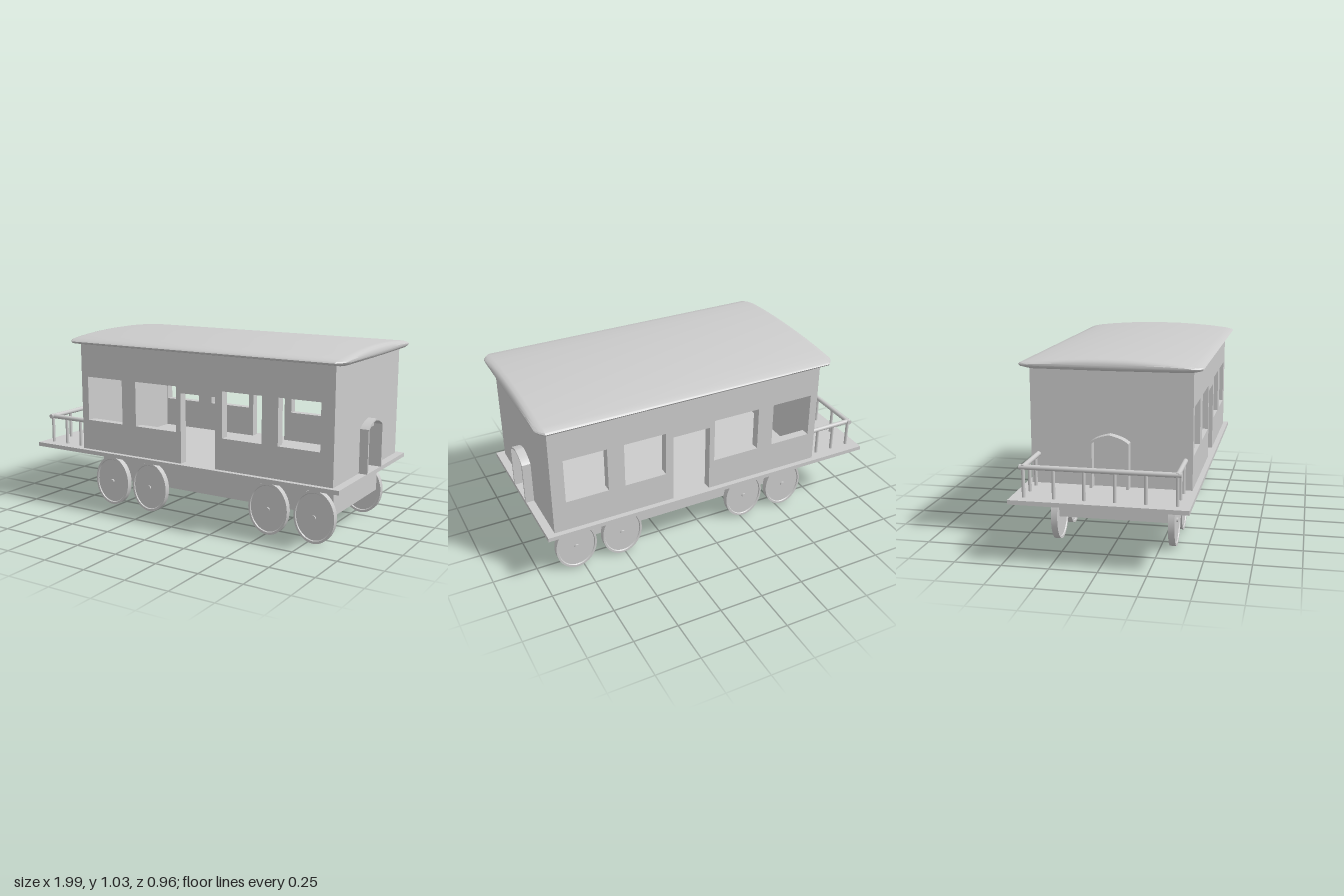
import * as THREE from 'three';
import { toCreasedNormals } from 'three/addons/utils/BufferGeometryUtils.js';

const material = new THREE.MeshStandardMaterial({ color: 0xcccccc, side: THREE.DoubleSide });

export function createModel() {
  const root = new THREE.Group();

  const add = (name, geometry, x = 0, y = 0, z = 0) => {
    const mesh = new THREE.Mesh(geometry, material);
    mesh.name = name;
    mesh.position.set(x, y, z);
    root.add(mesh);
    return mesh;
  };
  // Box given by its limits on each axis
  const box = (name, x0, x1, y0, y1, z0, z1) =>
    add(name, new THREE.BoxGeometry(x1 - x0, y1 - y0, z1 - z0), (x0 + x1) / 2, (y0 + y1) / 2, (z0 + z1) / 2);
  // Round bar between two points
  const bar = (name, a, b, r) => {
    const p = new THREE.Vector3(...a), q = new THREE.Vector3(...b);
    const mesh = add(name, new THREE.CylinderGeometry(r, r, p.distanceTo(q), 16));
    mesh.position.copy(p).lerp(q, 0.5);
    mesh.quaternion.setFromUnitVectors(new THREE.Vector3(0, 1, 0), q.sub(p).normalize());
  };
  const polygon = (points) => new THREE.Shape(points.map(([x, y]) => new THREE.Vector2(x, y)));
  const extrude = (shape, depth) =>
    new THREE.ExtrudeGeometry(shape, { depth, bevelEnabled: false, curveSegments: 10 });

  // Deck and underframe
  box('deck', -1, 0.98, 0.327, 0.35, -0.457, 0.457);
  box('underframe', -0.63, 0.88, 0.153, 0.327, -0.295, 0.295);

  // Side walls with a doorway and four windows
  const wall = 0.05, floor = 0.35, top = 0.985;
  const sideShape = polygon([
    [-0.67, floor], [0.02, floor], [0.02, 0.745], [0.24, 0.745], [0.24, floor],
    [0.935, floor], [0.935, top], [-0.67, top],
  ]);
  for (const [a, b] of [[-0.625, -0.38], [-0.285, -0.01], [0.285, 0.525], [0.62, 0.86]]) {
    sideShape.holes.push(polygon([[a, 0.525], [a, 0.78], [b, 0.78], [b, 0.525]]));
  }
  add('frontWall', extrude(sideShape, wall), 0, 0, 0.428 - wall);
  add('backWall', extrude(sideShape, wall), 0, 0, -0.428);

  // End walls: one solid, one with a doorway
  box('leftEndWall', -0.67, -0.63, floor, top, -0.378, 0.378);
  const endShape = polygon([
    [-0.378, floor], [-0.09, floor], [-0.09, 0.575], [0.09, 0.575], [0.09, floor],
    [0.378, floor], [0.378, top], [-0.378, top],
  ]);
  add('rightEndWall', extrude(endShape, 0.04).rotateY(Math.PI / 2), 0.895);

  // Arched door surrounds on both ends
  const arch = new THREE.Shape();
  arch.moveTo(-0.103, floor);
  arch.lineTo(-0.103, 0.592);
  arch.quadraticCurveTo(-0.07, 0.622, 0, 0.635);
  arch.quadraticCurveTo(0.07, 0.622, 0.103, 0.592);
  arch.lineTo(0.103, floor);
  arch.lineTo(0.09, floor);
  arch.lineTo(0.09, 0.588);
  arch.quadraticCurveTo(0.06, 0.615, 0, 0.625);
  arch.quadraticCurveTo(-0.06, 0.615, -0.09, 0.588);
  arch.lineTo(-0.09, floor);
  for (const x of [-0.72, 0.933]) {
    add('doorSurround', toCreasedNormals(extrude(arch, 0.05).rotateY(Math.PI / 2), 0.5), x);
  }

  // Cambered roof, lofted along x with rounded, chamfered ends
  const half = [[0.48, 0.986], [0.472, 0.994], [0.43, 1.003], [0.33, 1.014], [0.22, 1.022], [0.11, 1.027], [0, 1.028]];
  const under = [[-0.472, 0.976], [-0.42, 0.966], [0, 0.964], [0.42, 0.966], [0.472, 0.976]];
  const section = [...half, ...half.slice(0, -1).reverse().map(([z, y]) => [-z, y]), ...under];
  const ends = [[0, 0.88, 0.3], [0.006, 0.91, 0.65], [0.018, 0.95, 0.9], [0.04, 1, 1]];
  const stations = [
    ...ends.map(([d, w, h]) => [-0.735 + d, w, h]),
    ...ends.slice().reverse().map(([d, w, h]) => [0.992 - d, w, h]),
  ];
  const n = section.length, positions = [], index = [];
  for (const [x, w, h] of stations) {
    for (const [z, y] of section) positions.push(x, 0.99 + (y - 0.99) * h, z * w);
  }
  for (let s = 0; s < stations.length - 1; s++) {
    for (let i = 0; i < n; i++) {
      const a = s * n + i, b = s * n + (i + 1) % n;
      index.push(a, a + n, b, b, a + n, b + n);
    }
  }
  const last = (stations.length - 1) * n;
  for (let i = 1; i < n - 1; i++) index.push(0, i, i + 1, last, last + i + 1, last + i);
  const roof = new THREE.BufferGeometry();
  roof.setAttribute('position', new THREE.Float32BufferAttribute(positions, 3));
  roof.setIndex(index);
  add('roof', toCreasedNormals(roof, 0.6));

  // Oval wheels with a raised rim, paired on axles
  const wheelProfile = [[0, -0.012], [0.128, -0.012], [0.132, -0.0175], [0.145, -0.0175],
    [0.145, 0.0175], [0.132, 0.0175], [0.128, 0.012], [0, 0.012]].map(([r, h]) => new THREE.Vector2(r, h));
  const wheel = toCreasedNormals(new THREE.LatheGeometry(wheelProfile, 40).rotateX(Math.PI / 2), 0.5);
  wheel.scale(0.118 / 0.145, 1, 1);
  for (const x of [-0.54, -0.27, 0.513, 0.787]) {
    bar('axle', [x, 0.143, -0.338], [x, 0.143, 0.338], 0.012);
    for (const side of [-1, 1]) add('wheel', wheel, x, 0.146, side * 0.317);
  }

  // Platform railing
  const railY = 0.507, endX = -0.937, railZ = 0.39;
  bar('endRail', [endX, railY, -railZ - 0.02], [endX, railY, railZ + 0.02], 0.013);
  for (const z of [-railZ, railZ]) {
    bar('sideRail', [endX - 0.01, railY, z], [-0.67, railY, z], 0.013);
    for (const x of [-0.83, -0.725]) bar('railPost', [x, floor, z], [x, railY, z], 0.009);
  }
  for (let i = 0; i < 6; i++) {
    const z = -railZ + (i * 2 * railZ) / 5;
    bar('railPost', [endX, floor, z], [endX, railY, z], 0.009);
  }
  return root;
}
